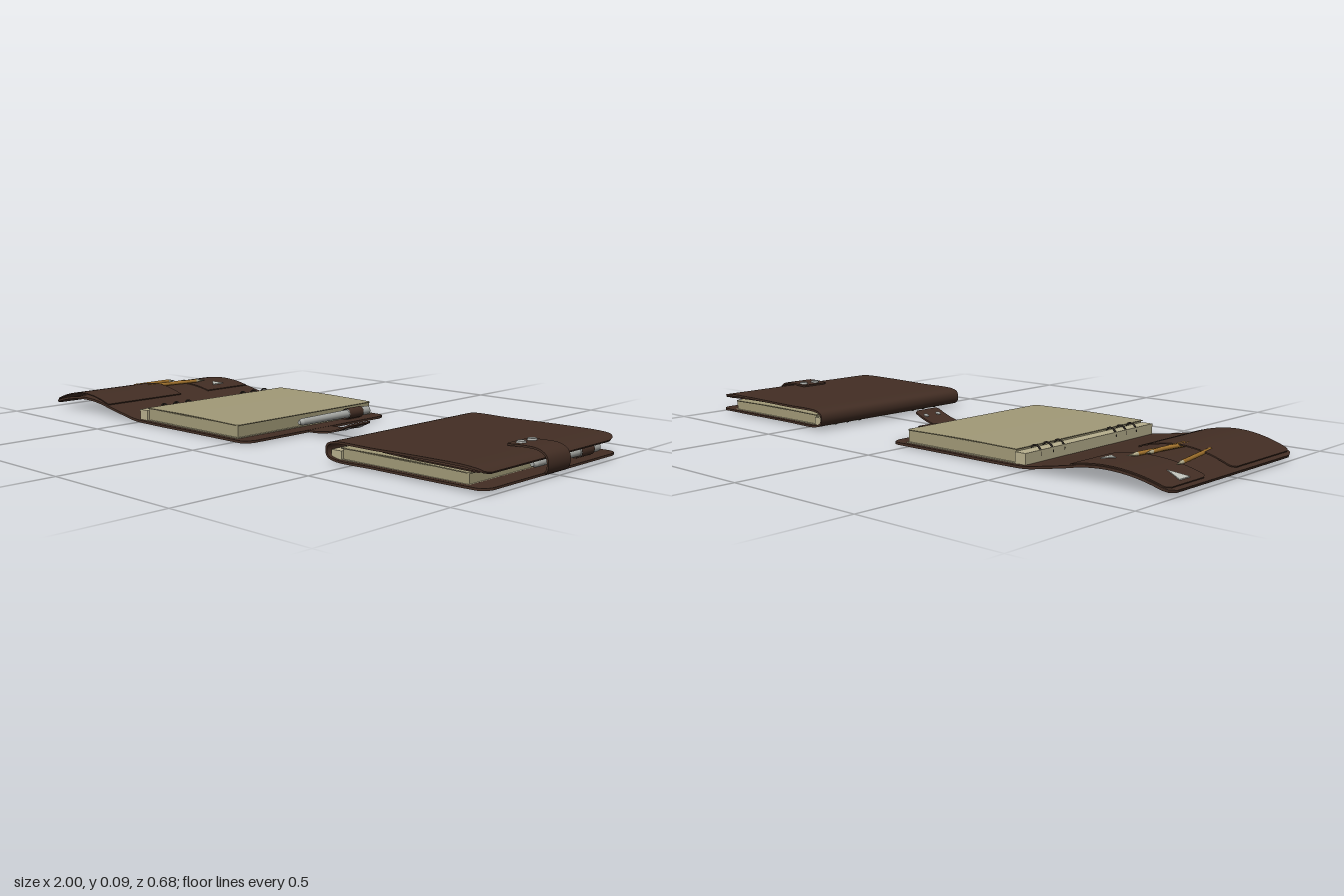
import * as THREE from 'three';

const mat = (name, color, side = THREE.FrontSide) => {
  const m = new THREE.MeshStandardMaterial({ color, side });
  m.name = name;
  return m;
};

export function createModel() {
  const leather = mat('brown leather', 0x432e24, THREE.DoubleSide);
  const paper = mat('cream paper', 0xa29a78);
  const edge = mat('pale page edge', 0xb8b08e);
  const metal = mat('grey metal', 0xa8aaa6);
  const dark = mat('dark ring wire', 0x2c2722);
  const wood = mat('ochre pencil', 0xa8772f);
  const card = mat('white card', 0xc4c6be);

  const add = (parent, name, geo, m, x = 0, y = 0, z = 0) => {
    const mesh = new THREE.Mesh(geo, m);
    mesh.name = name;
    mesh.position.set(x, y, z);
    parent.add(mesh);
    return mesh;
  };
  const group = (name, parent) => {
    const g = new THREE.Group();
    g.name = name;
    if (parent) parent.add(g);
    return g;
  };
  const box = (g, name, m, x0, x1, y0, y1, z0, z1) => add(g, name,
    new THREE.BoxGeometry(x1 - x0, y1 - y0, z1 - z0), m, (x0 + x1) / 2, (y0 + y1) / 2, (z0 + z1) / 2);

  // A sheet that follows a path in x and y, with rounded corners at its ends
  const sheet = (pts, thick, z0, z1, r0 = 0, r1 = 0, n = 100) => {
    const curve = new THREE.CatmullRomCurve3(pts.map(p => new THREE.Vector3(p[0], p[1], 0)), false, 'centripetal');
    const len = curve.getLength();
    const geo = new THREE.BoxGeometry(1, 1, 1, n, 1, 1);
    const p = geo.attributes.position;
    const inset = (s, r) => (s < r ? r - Math.sqrt(r * r - (r - s) ** 2) : 0);
    for (let i = 0; i < p.count; i++) {
      const u = THREE.MathUtils.clamp(p.getX(i) + 0.5, 0, 1);
      const c = curve.getPointAt(u), t = curve.getTangentAt(u);
      const h = p.getY(i) * thick;
      const d = Math.max(inset(u * len, r0), inset((1 - u) * len, r1));
      p.setXYZ(i, c.x - t.y * h, c.y + t.x * h, p.getZ(i) < 0 ? z0 + d : z1 - d);
    }
    geo.computeVertexNormals();
    return geo;
  };

  // A round bar from a to b
  const rod = (g, name, m, a, b, ra, rb = ra, sides = 16) => {
    const A = new THREE.Vector3(...a), B = new THREE.Vector3(...b);
    const dir = B.clone().sub(A);
    const mesh = add(g, name, new THREE.CylinderGeometry(rb, ra, dir.length(), sides), m);
    mesh.position.copy(A).add(B).multiplyScalar(0.5);
    mesh.quaternion.setFromUnitVectors(new THREE.Vector3(0, 1, 0), dir.normalize());
  };
  const pencil = (g, a, b) => {
    const p = group('pencil', g);
    const mid = a.map((v, i) => v + (b[i] - v) * 0.84);
    rod(p, 'pencilShaft', wood, a, mid, 0.007, 0.007, 6);
    rod(p, 'pencilTip', edge, mid, b, 0.007, 0.001, 6);
  };

  // Pen in its leather loop
  const penAndLoop = (g, x, y) => {
    const pen = group('pen', g);
    rod(pen, 'penBarrel', metal, [x, y, -0.17], [x, y, 0.05], 0.014, 0.012, 20);
    rod(pen, 'penCap', metal, [x, y, -0.278], [x, y, -0.17], 0.015, 0.015, 20);
    rod(pen, 'penEnd', metal, [x, y, 0.05], [x, y, 0.064], 0.012, 0.007, 20);
    const loop = add(g, 'penLoop', new THREE.CylinderGeometry(0.0185, 0.0185, 0.07, 24, 1, true), leather, x, y, -0.204);
    loop.rotation.x = Math.PI / 2;
    box(g, 'penLoopTab', leather, x - 0.03, x, y - 0.021, y - 0.016, -0.239, -0.169);
  };

  // Page block with a cover page, hole strip and six binder rings
  const pages = (g, x0, x1, top) => {
    box(g, 'pageBlock', paper, x0 + 0.04, x1 - 0.004, 0.015, top - 0.005, -0.318, 0.316);
    add(g, 'topPage', sheet([[x0 + 0.035, top - 0.003], [(x0 + x1) / 2, top - 0.001], [x1, top - 0.004]],
      0.003, -0.325, 0.32, 0, 0.008, 40), paper);
    box(g, 'bottomPage', edge, x0 + 0.03, x1, 0.012, 0.015, -0.325, 0.32);
    box(g, 'holeStrip', edge, x0, x0 + 0.04, 0.013, top - 0.01, -0.325, 0.325);
    for (const z of [-0.25, -0.195, -0.14, 0.125, 0.18, 0.235]) {
      const ring = add(g, 'binderRing', new THREE.TorusGeometry(0.022, 0.003, 8, 24), dark,
        x0 + 0.024, (top + 0.014) / 2, z);
      ring.scale.y = 1.05;
    }
  };

  const snap = (g, x, y, z) => add(g, 'snapButton', new THREE.CylinderGeometry(0.013, 0.016, 0.007, 20), metal, x, y, z);

  const model = group('planners');

  // Open planner
  const open = group('openPlanner', model);
  const hump = x => 0.052 - 0.85 * (x + 0.79) ** 2;
  const along = (x0, x1, lift) => Array.from({ length: 9 }, (_, i) => {
    const x = x0 + (x1 - x0) * i / 8;
    return [x, hump(x) + lift(i / 8)];
  });
  add(open, 'openCover', sheet([...along(-0.998, -0.65, () => 0), [-0.57, 0.021], [-0.5, 0.01],
    [-0.42, 0.008], [-0.2, 0.008], [0.068, 0.008]], 0.008, -0.34, 0.337, 0.035, 0.035), leather);
  add(open, 'innerPocket', sheet(along(-0.985, -0.66, t => 0.007 + 0.01 * Math.sin(Math.PI * t)),
    0.004, 0, 0.334, 0.02, 0, 40), leather);
  add(open, 'cardPocket', sheet(along(-0.985, -0.66, () => 0.0055), 0.004, -0.334, -0.135, 0.02, 0, 40), leather);

  // Card corners showing through the pocket
  for (const tri of [[[-0.97, -0.252], [-0.97, -0.2], [-0.913, -0.228]],
    [[-0.705, -0.252], [-0.705, -0.2], [-0.746, -0.234]]]) {
    const shape = new THREE.Shape(tri.map(([x, z]) => new THREE.Vector2(x, -z)));
    const geo = new THREE.ExtrudeGeometry(shape, { depth: 0.003, bevelEnabled: false });
    geo.rotateX(-Math.PI / 2);
    const p = geo.attributes.position;
    for (let i = 0; i < p.count; i++) p.setY(i, p.getY(i) + hump(p.getX(i)) + 0.0075);
    geo.computeVertexNormals();
    add(open, 'cardCorner', geo, card);
  }
  const onPanel = (x, z) => [x, hump(x) + 0.013, z];
  pencil(open, onPanel(-0.878, 0.05), onPanel(-0.907, -0.17));
  pencil(open, onPanel(-0.805, 0.05), onPanel(-0.77, -0.215));
  pencil(open, onPanel(-0.79, 0.05), onPanel(-0.79, -0.15));

  pages(open, -0.488, 0.01, 0.058);
  penAndLoop(open, 0.033, 0.034);
  add(open, 'openStrap', sheet([[0.04, 0.009], [0.1, 0.009], [0.16, 0.017], [0.21, 0.033], [0.247, 0.05]],
    0.006, -0.057, 0.055, 0, 0.012, 40), leather);
  for (const z of [-0.033, 0.025]) {
    const s = snap(open, 0.215, 0.035, z);
    s.scale.set(0.7, 1.6, 0.7);
    s.rotation.z = 0.42;
  }

  // Closed planner
  const closed = group('closedPlanner', model);
  add(closed, 'closedCover', sheet([[0.99, 0.012], [0.85, 0.011], [0.6, 0.011], [0.445, 0.012], [0.42, 0.022],
    [0.415, 0.04], [0.421, 0.056], [0.445, 0.064], [0.6, 0.066], [0.8, 0.069], [0.93, 0.068], [0.965, 0.063],
    [0.98, 0.053]], 0.007, -0.34, 0.337, 0.035, 0.035, 160), leather);
  add(closed, 'closedInnerPocket', sheet([[0.63, 0.062], [0.75, 0.058], [0.88, 0.057], [0.965, 0.056]],
    0.004, 0, 0.33, 0, 0.02, 40), leather);
  add(closed, 'closedCardPocket', sheet([[0.63, 0.063], [0.8, 0.063], [0.965, 0.057]],
    0.004, -0.33, -0.135, 0, 0.02, 40), leather);
  pages(closed, 0.425, 0.925, 0.05);
  pencil(closed, [0.85, 0.055, 0.05], [0.88, 0.055, -0.17]);
  pencil(closed, [0.77, 0.056, 0.05], [0.74, 0.056, -0.21]);
  penAndLoop(closed, 0.95, 0.035);
  add(closed, 'closedStrap', sheet([[0.92, 0.005], [0.965, 0.004], [0.988, 0.012], [0.997, 0.035], [0.99, 0.062],
    [0.965, 0.077], [0.92, 0.08], [0.855, 0.077]], 0.006, -0.057, 0.057, 0, 0.012, 60), leather);
  for (const z of [-0.032, 0.023]) snap(closed, 0.885, 0.084, z);

  return model;
}
